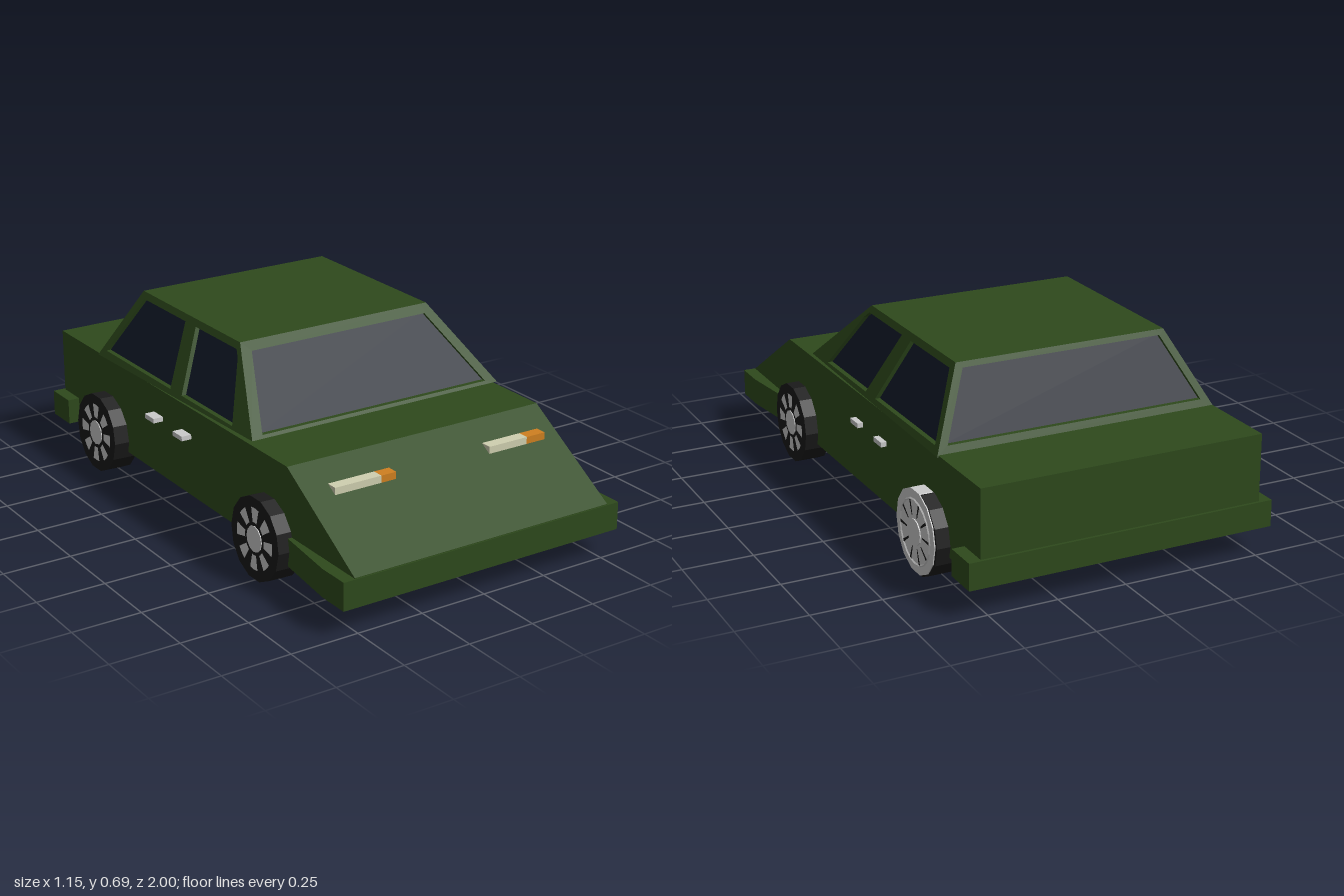
import * as THREE from 'three';

const mat = (color) => new THREE.MeshStandardMaterial({ color, flatShading: true });
const green = mat(0x2e4a1c), glass = mat(0x111a2a), rubber = mat(0x1a1a1a);
const grey = mat(0xcccccc), cream = mat(0xd0d0b0), orange = mat(0xd08020);

function mesh(parent, name, geometry, material, x = 0, y = 0, z = 0) {
  const m = new THREE.Mesh(geometry, material);
  m.name = name;
  m.position.set(x, y, z);
  parent.add(m);
  return m;
}

const toShape = (pts) => new THREE.Shape(pts.map(([a, b]) => new THREE.Vector2(a, b)));
const extrude = (shape, depth) => new THREE.ExtrudeGeometry(shape, { depth, bevelEnabled: false });

// Box given by its limits on each axis
function box(parent, name, material, [x0, x1], [y0, y1], [z0, z1]) {
  return mesh(parent, name, new THREE.BoxGeometry(x1 - x0, y1 - y0, z1 - z0), material,
    (x0 + x1) / 2, (y0 + y1) / 2, (z0 + z1) / 2);
}

// Extruded frame with recessed panes, leaned onto its plane by the map rule
function windowPanel(parent, name, outer, holes, map) {
  const lean = (geometry, back) => {
    const p = geometry.attributes.position;
    for (let i = 0; i < p.count; i++) p.setXYZ(i, ...map(p.getX(i), p.getY(i), p.getZ(i) + back));
    geometry.computeVertexNormals();
    return geometry;
  };
  const shape = toShape(outer);
  shape.holes = holes.map((h) => new THREE.Path(h.map(([a, b]) => new THREE.Vector2(a, b))));
  mesh(parent, name + 'Frame', lean(extrude(shape, 0.03), -0.03), green);
  for (const h of holes) mesh(parent, name + 'Glass', lean(extrude(toShape(h), 0.01), -0.028), glass);
}

// Trapezoid symmetric about zero
const trapezoid = (w0, y0, w1, y1) => [[-w0, y0], [w0, y0], [w1, y1], [-w1, y1]];
const line = (y, y0, a0, y1, a1) => a0 + ((a1 - a0) * (y - y0)) / (y1 - y0);

function wheel(parent, name, side, z, tyreMat, spokeMat) {
  const g = new THREE.Group();
  g.name = name;
  const r = 0.148, w = 0.092;
  mesh(g, 'tyre', new THREE.CylinderGeometry(r, r, w, 14).rotateZ(Math.PI / 2), rubber);
  let face = w / 2 + 0.001;
  if (tyreMat !== rubber) {
    // light outer tyre, slightly off centre from the dark one
    mesh(g, 'outerTyre', new THREE.CylinderGeometry(r, r, 0.05, 14).rotateZ(Math.PI / 2), tyreMat, 0.025, 0.002, 0.01);
    mesh(g, 'rimRing', new THREE.TorusGeometry(0.113, 0.004, 4, 20).rotateY(Math.PI / 2), tyreMat, 0.05, 0, 0.01);
    face = 0.052;
  }
  const count = tyreMat === rubber ? 8 : 10, span = tyreMat === rubber ? 0.42 : 0.1;
  const offset = tyreMat === rubber ? 0 : 0.01;
  for (let i = 0; i < count; i++) {
    const start = (i * 2 * Math.PI) / count - span / 2;
    mesh(g, 'spoke', new THREE.RingGeometry(0.058, 0.11, 2, 1, start, span).rotateY(Math.PI / 2), spokeMat, face, 0, offset);
  }
  mesh(g, 'hub', new THREE.CylinderGeometry(0.046, 0.046, 0.008, 12).rotateZ(Math.PI / 2), grey, face - 0.002, 0, offset);
  g.position.set(side * 0.522, 0.15, z);
  g.scale.x = side;
  if (side < 0) g.rotation.z = -0.03;
  parent.add(g);
}

export function createModel() {
  const car = new THREE.Group();
  car.name = 'car';

  // Wedge body from its side profile (z, y)
  const body = extrude(toShape([[-0.99, 0.11], [0.99, 0.1], [0.995, 0.197], [0.605, 0.435], [-0.99, 0.435]]), 1.03);
  mesh(car, 'body', body.rotateY(-Math.PI / 2), green, 0.52);

  // Bumpers
  const plan = [[-0.53, 0.63], [0.53, 0.63], [0.56, 0.88], [0.56, 1], [-0.56, 1], [-0.56, 0.88]];
  mesh(car, 'frontBumper', extrude(toShape(plan), 0.1).rotateX(Math.PI / 2), green, 0.005, 0.195);
  box(car, 'rearBumper', green, [-0.555, 0.565], [0.1, 0.195], [-1, -0.875]);

  // Cabin: roof, windscreen, rear window and both sides
  const cabin = new THREE.Group();
  cabin.name = 'cabin';
  cabin.position.x = 0.006;
  car.add(cabin);
  box(cabin, 'roof', green, [-0.39, 0.39], [0.672, 0.69], [-0.56, 0.115]);
  const zFront = (y) => line(y, 0.447, 0.385, 0.69, 0.115);
  const zRear = (y) => line(y, 0.43, -0.69, 0.69, -0.56);
  const xSide = (y) => line(y, 0.435, 0.517, 0.69, 0.39);
  windowPanel(cabin, 'windscreen', trapezoid(0.511, 0.447, 0.39, 0.69),
    [trapezoid(0.465, 0.456, 0.362, 0.663)], (u, v, w) => [u, v, zFront(v) + w]);
  windowPanel(cabin, 'rearWindow', trapezoid(0.519, 0.43, 0.39, 0.69),
    [trapezoid(0.478, 0.458, 0.376, 0.672)], (u, v, w) => [-u, v, zRear(v) - w]);
  // Side outlines run along -z
  const sideOuter = [[-0.385, 0.447], [0.69, 0.43], [0.56, 0.69], [-0.115, 0.69]];
  const sideHoles = [
    [[-0.25, 0.455], [0.09, 0.455], [0.165, 0.667], [-0.122, 0.667]],
    [[0.17, 0.455], [0.648, 0.455], [0.538, 0.667], [0.237, 0.667]],
  ];
  for (const side of [1, -1]) {
    const half = new THREE.Group();
    half.name = side > 0 ? 'leftCabinSide' : 'rightCabinSide';
    half.scale.x = side;
    cabin.add(half);
    windowPanel(half, 'sideWindow', sideOuter, sideHoles, (u, v, w) => [xSide(v) + w, v, -u]);
  }

  // Door handles
  for (const z of [0.055, -0.145].map((c) => c - 0.1)) {
    box(car, 'leftDoorHandle', grey, [0.51, 0.541], [0.32, 0.337], [z - 0.032, z + 0.032]);
    box(car, 'rightDoorHandle', grey, [-0.548, -0.5], [0.32, 0.337], [z - 0.032, z + 0.032]);
  }

  // Headlamps and indicators on the sloping nose
  for (const [a, b, c] of [[-0.408, -0.227, -0.168], [0.217, 0.377, 0.455]]) {
    box(car, 'headlamp', cream, [a, b], [0.357, 0.383], [0.69, 0.732]);
    box(car, 'indicator', orange, [b, c], [0.357, 0.383], [0.69, 0.732]);
  }

  // Wheels; the left rear one has a light tyre with dark slots
  wheel(car, 'leftFrontWheel', 1, 0.495, rubber, grey);
  wheel(car, 'rightFrontWheel', -1, 0.495, rubber, grey);
  wheel(car, 'rightRearWheel', -1, -0.625, rubber, grey);
  wheel(car, 'leftRearWheel', 1, -0.625, grey, rubber);
  return car;
}
